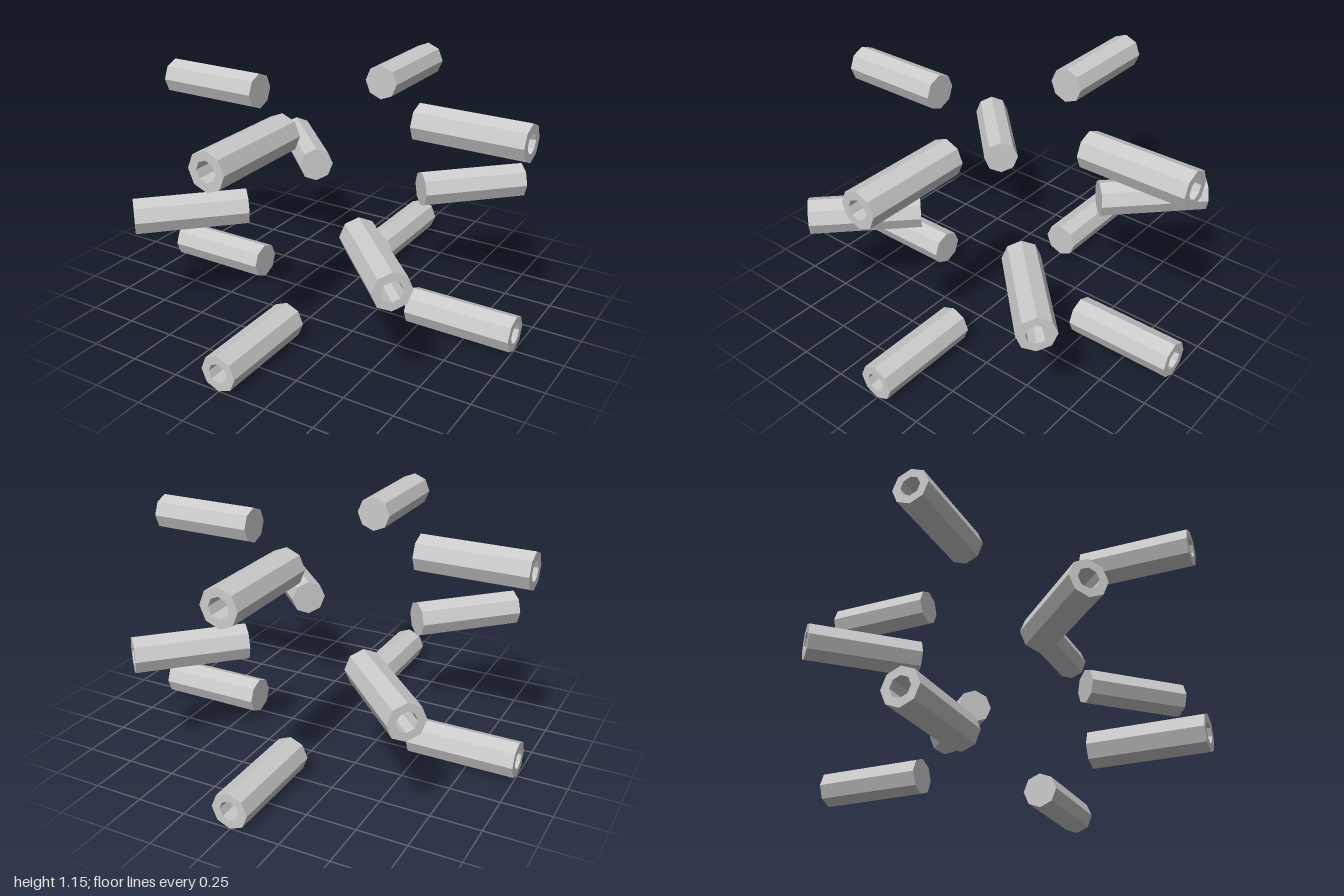
import * as THREE from 'three';

const OUTER_R = 0.092, HOLE_R = 0.05;
const NEAR = 0.452, FAR = 1, HOLE_FLOOR = 0.55;

// Octagonal tube along +z: closed at the inner end, hollow at the outer end
function tubeGeometry() {
  const profile = [
    [0, NEAR], [OUTER_R, NEAR], [OUTER_R, FAR],
    [HOLE_R, FAR], [HOLE_R, HOLE_FLOOR], [0, HOLE_FLOOR],
  ].map(([r, h]) => new THREE.Vector2(r, h));
  return new THREE.LatheGeometry(profile, 8).rotateX(Math.PI / 2);
}

export function createModel() {
  const model = new THREE.Group();
  model.name = 'radialTubes';
  const geometry = tubeGeometry();
  const material = new THREE.MeshStandardMaterial({ color: 0xcccccc, flatShading: true });

  // Three rings of four tubes; the middle ring is turned by 45 degrees
  const rings = [
    { name: 'lowerRing', y: 0.092, turn: 0 },
    { name: 'middleRing', y: 0.575, turn: Math.PI / 4 },
    { name: 'upperRing', y: 1.058, turn: 0 },
  ];
  for (const { name, y, turn } of rings) {
    const ring = new THREE.Group();
    ring.name = name;
    ring.position.y = y;
    for (let i = 0; i < 4; i++) {
      const tube = new THREE.Mesh(geometry, material);
      tube.name = `tube${i + 1}`;
      tube.rotation.y = turn + i * Math.PI / 2;
      ring.add(tube);
    }
    model.add(ring);
  }
  return model;
}
